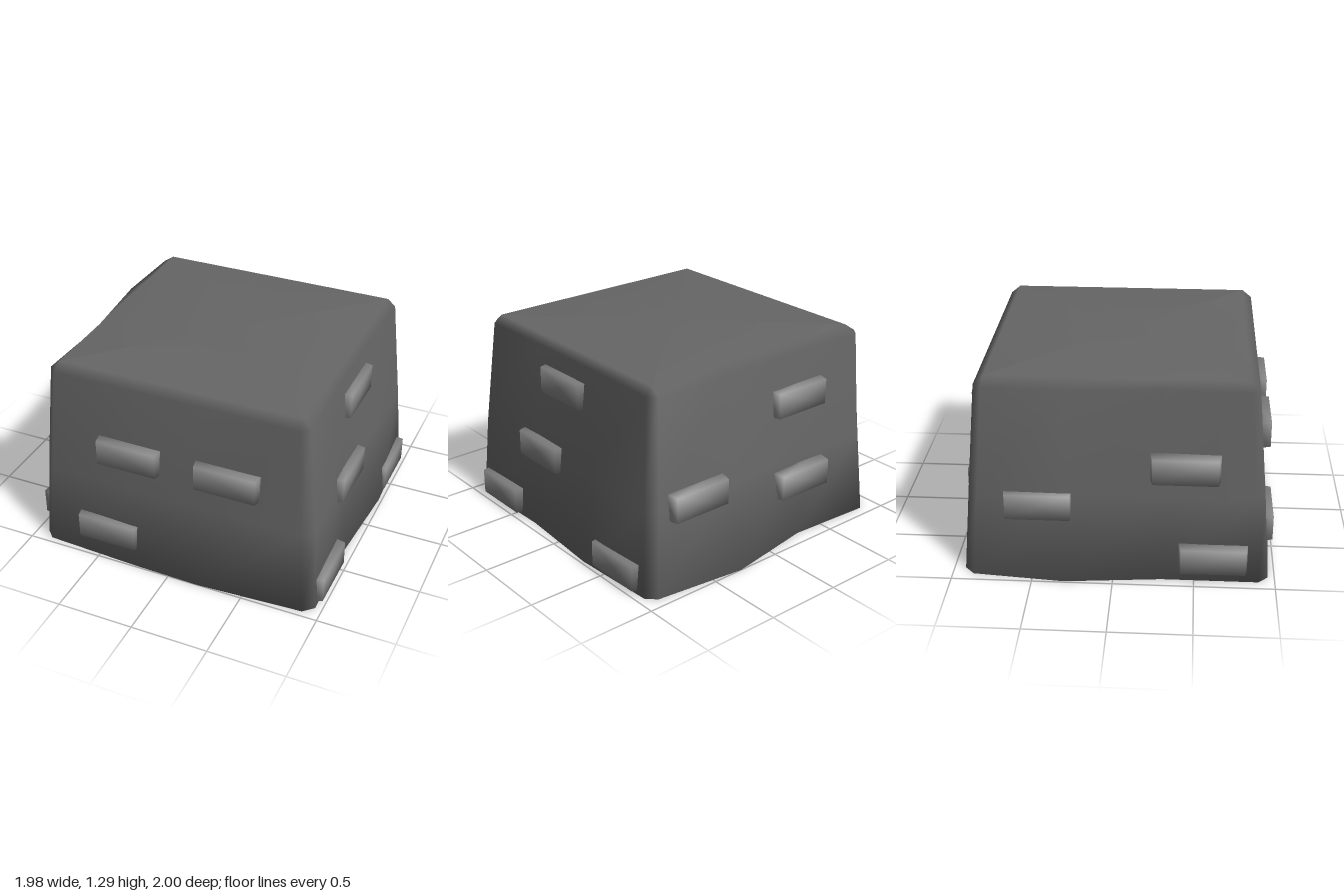
import * as THREE from 'three';

const stone = new THREE.MeshStandardMaterial({ color: 0x666666 });
const paleStone = new THREE.MeshStandardMaterial({ color: 0x868686 });

// Outlines [x, z], counter-clockwise from above: front, right, back, left with cut corners
const base = [[-.25, .99], [.2, 1], [.89, .96], [.955, .9], [.94, .3], [.98, -.3], [.95, -.87], [.89, -.93],
  [.29, -1], [-.3, -.9], [-.87, -.93], [-.935, -.87], [-.99, -.3], [-.93, .3], [-.93, .9], [-.87, .96]];
const middle = [[-.25, .93], [.2, .93], [.85, .92], [.92, .86], [.9, .3], [.91, -.3], [.91, -.83], [.85, -.89],
  [.29, -.89], [-.3, -.87], [-.83, -.89], [-.9, -.83], [-.91, -.3], [-.88, .3], [-.9, .86], [-.84, .92]];
const shoulder = [[-.25, .86], [.2, .86], [.8, .86], [.85, .81], [.84, .3], [.84, -.3], [.85, -.78], [.8, -.83],
  [.29, -.83], [-.3, -.83], [-.82, -.83], [-.86, -.78], [-.88, -.3], [-.83, .3], [-.85, .81], [-.8, .86]];
// Straight-sided top edge, and an inner ring under the block
const clamp = THREE.MathUtils.clamp;
const rim = shoulder.map(([x, z]) => [clamp(x, -0.79, 0.8), clamp(z, -0.77, 0.8)]);
const underside = base.map(([x, z]) => [x * 0.65, z * 0.65]);

// Closed smooth solid lofted through the outlines
function loft(rings) {
  const n = rings[0].outline.length, pos = [], index = [];
  for (const { y, outline } of rings) for (const [x, z] of outline) pos.push(x, y, z);
  const bottom = pos.length / 3, top = bottom + 1, last = (rings.length - 1) * n;
  pos.push(0, rings[0].y, 0, 0, rings[rings.length - 1].y, 0);
  for (let i = 0; i < n; i++) {
    const j = (i + 1) % n;
    for (let r = 0; r < last; r += n) {
      index.push(r + i, r + j, r + n + j, r + i, r + n + j, r + n + i);
    }
    index.push(bottom, j, i, top, last + i, last + j);
  }
  const g = new THREE.BufferGeometry();
  g.setAttribute('position', new THREE.Float32BufferAttribute(pos, 3));
  g.setIndex(index);
  g.computeVertexNormals();
  return g;
}

// Tapered brick with softly shaded edges, outer face at z = 0
const rectangle = (w, h) => [[-w / 2, h / 2], [w / 2, h / 2], [w / 2, -h / 2], [-w / 2, -h / 2]];
function brickGeometry() {
  return loft([
    { y: -0.12, outline: rectangle(0.44, 0.178) },
    { y: 0, outline: rectangle(0.395, 0.164) },
  ]).rotateX(Math.PI / 2);
}

// Per wall: turn about y, and bricks as [position along the wall in world x or z, y, outer distance]
const walls = [
  { name: 'frontBricks', turn: 0, sign: 1, bricks: [[-.285, .795, .96], [.37, .795, .96], [-.43, .21, .995]] },
  { name: 'leftBricks', turn: Math.PI / 2, sign: -1,
    bricks: [[.02, 1.045, .895], [.225, .555, .945], [.655, .11, .985], [-.6, .11, .985]] },
  { name: 'backBricks', turn: Math.PI, sign: -1, bricks: [[-.29, .955, .905], [.565, .555, .955], [-.29, .415, .96]] },
  { name: 'rightBricks', turn: -Math.PI / 2, sign: 1, bricks: [[-.46, .49, .95], [.435, .755, .95], [.615, .165, .99]] },
];

export function createModel() {
  const model = new THREE.Group();
  model.name = 'stoneBlock';

  // Tapered, uneven block
  const body = new THREE.Mesh(loft([
    { y: 0, outline: underside }, { y: 0, outline: base }, { y: 0.55, outline: middle },
    { y: 1.24, outline: shoulder }, { y: 1.29, outline: rim },
  ]), stone);
  body.name = 'body';
  model.add(body);

  // Raised bricks on each wall
  const geometry = brickGeometry();
  for (const { name, turn, sign, bricks } of walls) {
    const wall = new THREE.Group();
    wall.name = name;
    wall.rotation.y = turn;
    for (const [along, y, out] of bricks) {
      const brick = new THREE.Mesh(geometry, paleStone);
      brick.name = 'brick';
      brick.position.set(along * sign, y, out);
      wall.add(brick);
    }
    model.add(wall);
  }
  return model;
}
